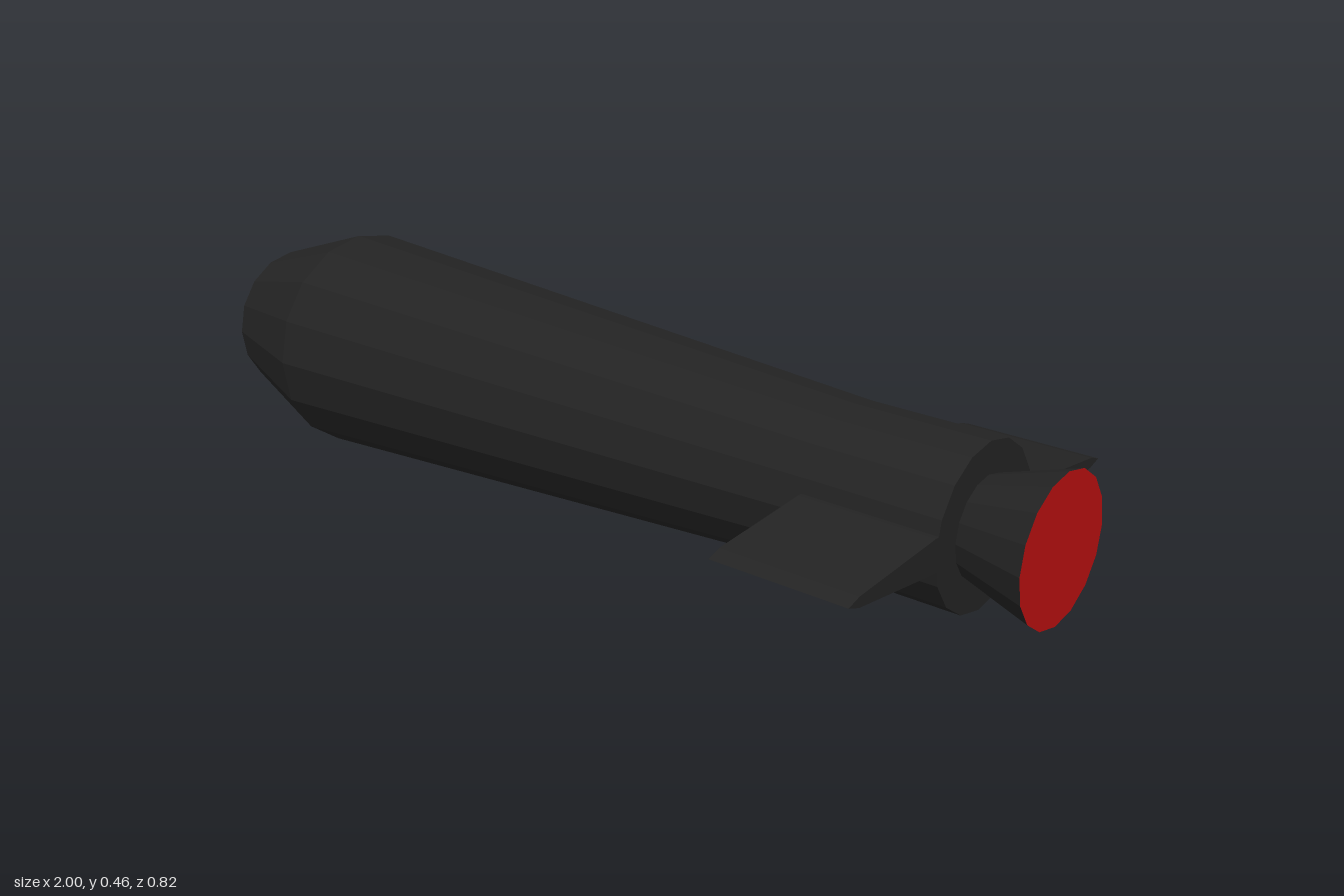
import * as THREE from 'three';

const AXIS_Y = 0.232;
const SIDES = 16;

export function createModel() {
  const group = new THREE.Group();
  const black = new THREE.MeshStandardMaterial({ color: 0x232323, flatShading: true });
  black.name = 'black casing';
  const red = new THREE.MeshStandardMaterial({ color: 0xb80f10, flatShading: true });
  red.name = 'red exhaust';

  const add = (name, geometry, material) => {
    const mesh = new THREE.Mesh(geometry, material);
    mesh.name = name;
    mesh.position.y = AXIS_Y;
    group.add(mesh);
  };

  // Turned part along x from [x, radius] pairs
  const turned = (profile) =>
    new THREE.LatheGeometry(profile.map(([x, r]) => new THREE.Vector2(r, x)), SIDES).rotateZ(-Math.PI / 2);

  // Casing: blunt nose, widest shoulder, long taper, straight tail with end cap
  add('body', turned([
    [-1, 0], [-1, 0.04], [-0.94, 0.151], [-0.705, 0.231],
    [0.58, 0.157], [0.855, 0.157], [0.855, 0],
  ]), black);

  // Flared nozzle closed by a red disc
  add('nozzle', turned([[0.85, 0.094], [1, 0.141]]), black);
  add('exhaust', new THREE.CircleGeometry(0.141, SIDES).rotateY(Math.PI / 2).translate(1, 0, 0), red);

  // Tail fins: tapered section with a bevelled tip, extruded along x
  for (const side of [1, -1]) {
    const section = new THREE.Shape([
      [0.1, -0.034], [0.16, -0.032], [0.38, -0.01], [0.41, 0],
      [0.38, 0.01], [0.16, 0.032], [0.1, 0.034],
    ].map(([z, y]) => new THREE.Vector2(-side * z, y)));
    const fin = new THREE.ExtrudeGeometry(section, { depth: 0.275, bevelEnabled: false });
    fin.rotateY(Math.PI / 2).translate(0.58, 0, 0);
    add(side > 0 ? 'frontFin' : 'backFin', fin, black);
  }

  return group;
}
